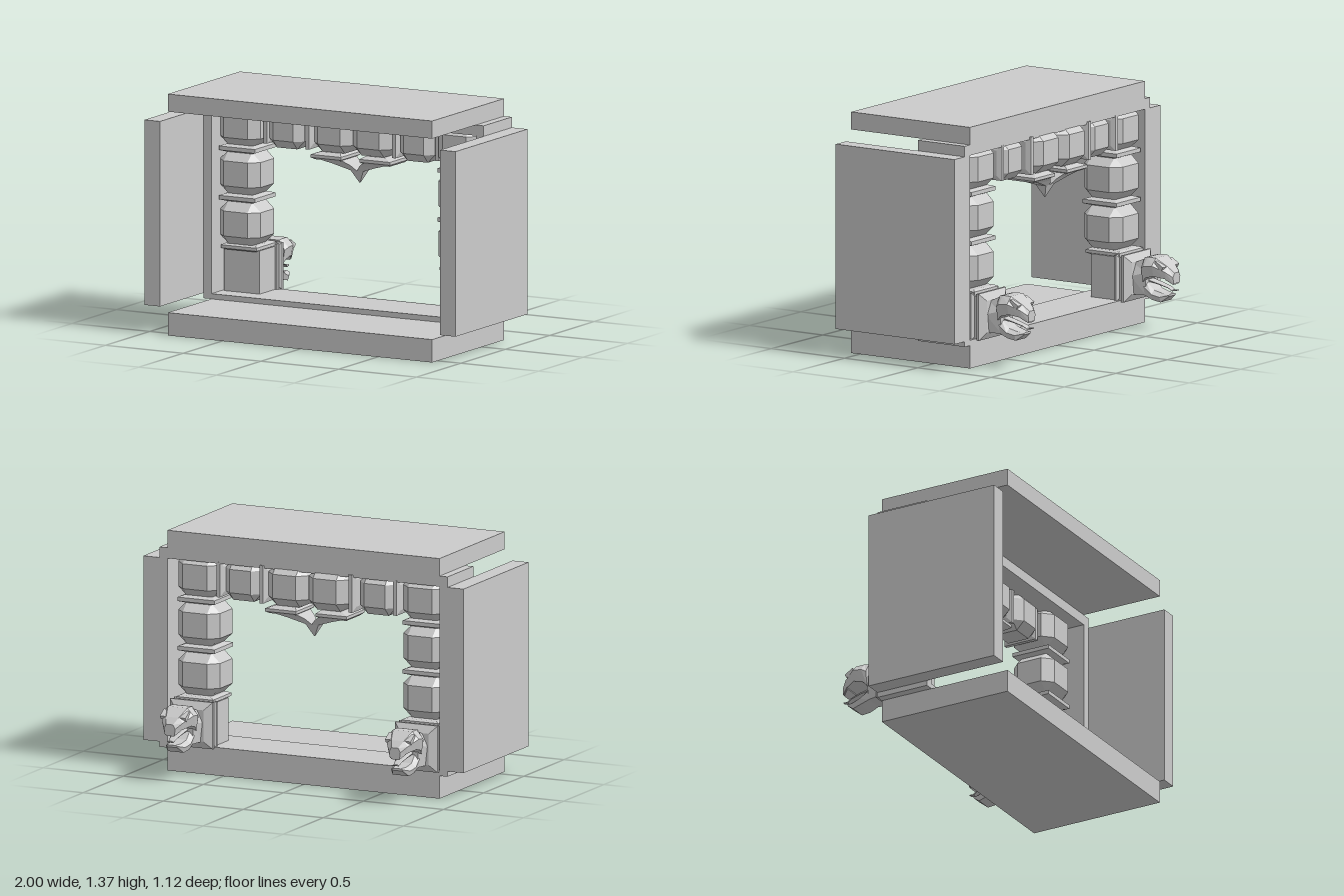
import * as THREE from 'three';
import { ConvexGeometry } from 'three/addons/geometries/ConvexGeometry.js';

const material = new THREE.MeshStandardMaterial({ color: 0xcccccc, flatShading: true, side: THREE.DoubleSide });
const MID = -0.02; // the carved trim is centred slightly off the frame

function add(parent, name, geometry, x = 0, y = 0, z = 0) {
  const mesh = new THREE.Mesh(geometry, material);
  mesh.name = name;
  mesh.position.set(x, y, z);
  parent.add(mesh);
  return mesh;
}

// Box given by its limits on each axis
function slab(parent, name, x0, x1, y0, y1, z0, z1) {
  return add(parent, name, new THREE.BoxGeometry(x1 - x0, y1 - y0, z1 - z0),
    (x0 + x1) / 2, (y0 + y1) / 2, (z0 + z1) / 2);
}

// Bead: a box with every edge and corner cut off
function bead(hx, hy, hz) {
  const points = [], c = 0.58;
  for (const sx of [-1, 1]) for (const sy of [-1, 1]) for (const sz of [-1, 1]) {
    for (const [a, b, d] of [[1, c, c], [c, 1, c], [c, c, 1]]) {
      points.push(new THREE.Vector3(sx * hx * a, sy * hy * b, sz * hz * d));
    }
  }
  return new ConvexGeometry(points);
}

// Thin square plate with bevelled rims, lying flat
function plate(half, thick, rim = 0.72) {
  const points = [];
  for (const sx of [-1, 1]) for (const sz of [-1, 1]) for (const sy of [-1, 1]) {
    points.push(new THREE.Vector3(sx * half, sy * thick * 0.25, sz * half));
    points.push(new THREE.Vector3(sx * half * rim, sy * thick * 0.5, sz * half * rim));
  }
  return new ConvexGeometry(points);
}

// Skin joining equal-length rings of [x, y, z], capped at both ends
function loft(rings) {
  const tris = [], n = rings[0].length;
  const last = rings[rings.length - 1];
  for (let i = 0; i < rings.length - 1; i++) {
    for (let j = 0; j < n; j++) {
      const k = (j + 1) % n;
      const a = rings[i][j], b = rings[i][k], c = rings[i + 1][k], d = rings[i + 1][j];
      tris.push([a, b, c], [a, c, d]);
    }
  }
  for (let j = 1; j < n - 1; j++) {
    tris.push([rings[0][0], rings[0][j + 1], rings[0][j]], [last[0], last[j], last[j + 1]]);
  }
  // Turn the skin outward if its enclosed volume is negative
  let volume = 0;
  const v = (p) => new THREE.Vector3(...p);
  for (const [a, b, c] of tris) volume += v(a).dot(v(b).cross(v(c)));
  if (volume < 0) tris.forEach((t) => t.reverse());
  const geometry = new THREE.BufferGeometry();
  geometry.setAttribute('position', new THREE.Float32BufferAttribute(tris.flat(2), 3));
  geometry.computeVertexNormals();
  return geometry;
}

// Six-sided head section: bevelled on top, wide at the cheeks
const section = ([z, w, low, high]) => [
  [-w * 0.85, low, z], [-w, low + (high - low) * 0.6, z], [-w * 0.6, high, z],
  [w * 0.6, high, z], [w, low + (high - low) * 0.6, z], [w * 0.85, low, z],
];

function beastHead() {
  const head = new THREE.Group();
  head.name = 'beastHead';
  // Each row: z, half width, bottom y, top y
  const parts = {
    neck: [[-0.3, 0.085, 0.195, 0.37], [-0.385, 0.065, 0.195, 0.41]],
    upperJaw: [[-0.375, 0.09, 0.275, 0.41], [-0.4, 0.1, 0.3, 0.415], [-0.455, 0.1, 0.315, 0.415],
      [-0.52, 0.065, 0.3, 0.37], [-0.555, 0.035, 0.275, 0.335]],
    fangs: [[-0.515, 0.06, 0.295, 0.33], [-0.55, 0.03, 0.268, 0.31]],
    lowerJaw: [[-0.375, 0.065, 0.195, 0.275], [-0.43, 0.07, 0.175, 0.228],
      [-0.48, 0.06, 0.165, 0.215], [-0.525, 0.035, 0.2, 0.212]],
    tongue: [[-0.38, 0.03, 0.27, 0.285], [-0.45, 0.028, 0.258, 0.268],
      [-0.51, 0.022, 0.243, 0.25], [-0.535, 0.018, 0.228, 0.236], [-0.565, 0.01, 0.234, 0.24]],
  };
  for (const [name, rows] of Object.entries(parts)) add(head, name, loft(rows.map(section)));
  // Brow ridges over the eyes
  for (const s of [-1, 1]) {
    const brow = add(head, 'brow', new THREE.BoxGeometry(0.04, 0.025, 0.06), s * 0.06, 0.375, -0.485);
    brow.rotation.x = -0.55;
  }
  return head;
}

function column(x) {
  const group = new THREE.Group();
  group.name = 'column';
  const z = -0.11;
  // Base block and its bevelled backing plate
  slab(group, 'baseBlock', -0.115, 0.115, 0.16, 0.405, -0.26, -0.05);
  const rows = [[-0.22, 0.13], [-0.235, 0.133], [-0.25, 0.105], [-0.27, 0.133], [-0.285, 0.133], [-0.312, 0.09]];
  add(group, 'basePlate', loft(rows.map(([d, h]) => [
    [-h, 0.288 - h, d], [h, 0.288 - h, d], [h, 0.288 + h, d], [-h, 0.288 + h, d],
  ])));
  add(group, 'baseCap', plate(0.115, 0.035, 0.85), 0, 0.417, z - 0.02);
  // Stacked beads with plates between
  for (const y of [0.555, 0.84, 1.115]) add(group, 'columnBead', bead(0.131, 0.122, 0.131), 0, y, z);
  for (const y of [0.698, 0.978]) add(group, 'columnPlate', plate(0.116, 0.045), 0, y, z);
  group.add(beastHead());
  group.position.x = x;
  return group;
}

// One half of the centre drop, s = side
function pendant(parent, s) {
  const ring = (y, inner, outer, hz) => [
    [s * inner, y, -hz], [s * outer, y, -hz], [s * outer, y, hz], [s * inner, y, hz],
  ];
  add(parent, 'pendantPlate', loft([
    ring(1.0, 0.08, 0.21, 0.08), ring(0.985, 0.06, 0.255, 0.11),
    ring(0.968, 0.06, 0.255, 0.11), ring(0.955, 0.08, 0.24, 0.085),
  ]), MID, 0, -0.15);
  add(parent, 'pendantHorn', loft([
    ring(0.965, 0.075, 0.245, 0.09), ring(0.935, 0.03, 0.14, 0.06),
    ring(0.902, 0, 0.04, 0.035), ring(0.83, 0, 0.002, 0.002),
  ]), MID, 0, -0.15);
}

export function createModel() {
  const model = new THREE.Group();
  model.name = 'carvedFrame';

  // Outer slabs
  const back = -0.25, front = 0.56, step = 0.07;
  slab(model, 'topSlab', -0.85, 0.85, 1.27, 1.37, back, front);
  slab(model, 'bottomSlab', -0.85, 0.85, 0, 0.13, back, front);
  // Inner strips tying the slabs together at the back
  slab(model, 'topStrip', -0.9, 0.9, 1.21, 1.27, back, step);
  slab(model, 'bottomStrip', -0.9, 0.9, 0.13, 0.16, back, step);
  for (const s of [-1, 1]) {
    const sideSlab = slab(model, 'sideSlab', 0.9, 1, 0.16, 1.21, back, front);
    const sideStrip = slab(model, 'sideStrip', 0.85, 0.9, 0.16, 1.21, back, step);
    sideSlab.position.x *= s;
    sideStrip.position.x *= s;
  }

  // Carved trim, mirrored about its own centre
  for (const s of [-1, 1]) {
    model.add(column(MID + s * 0.703));
    add(model, 'innerBead', bead(0.124, 0.118, 0.13), MID + s * 0.126, 1.12, -0.15);
    add(model, 'outerBead', bead(0.112, 0.115, 0.112), MID + s * 0.42, 1.115, -0.13);
    for (const [x, half] of [[0.278, 0.108], [0.552, 0.1]]) {
      const divider = add(model, 'beadDivider', plate(half, 0.045), MID + s * x, 1.118, -0.152);
      divider.rotation.z = Math.PI / 2;
    }
    pendant(model, s);
  }
  return model;
}
